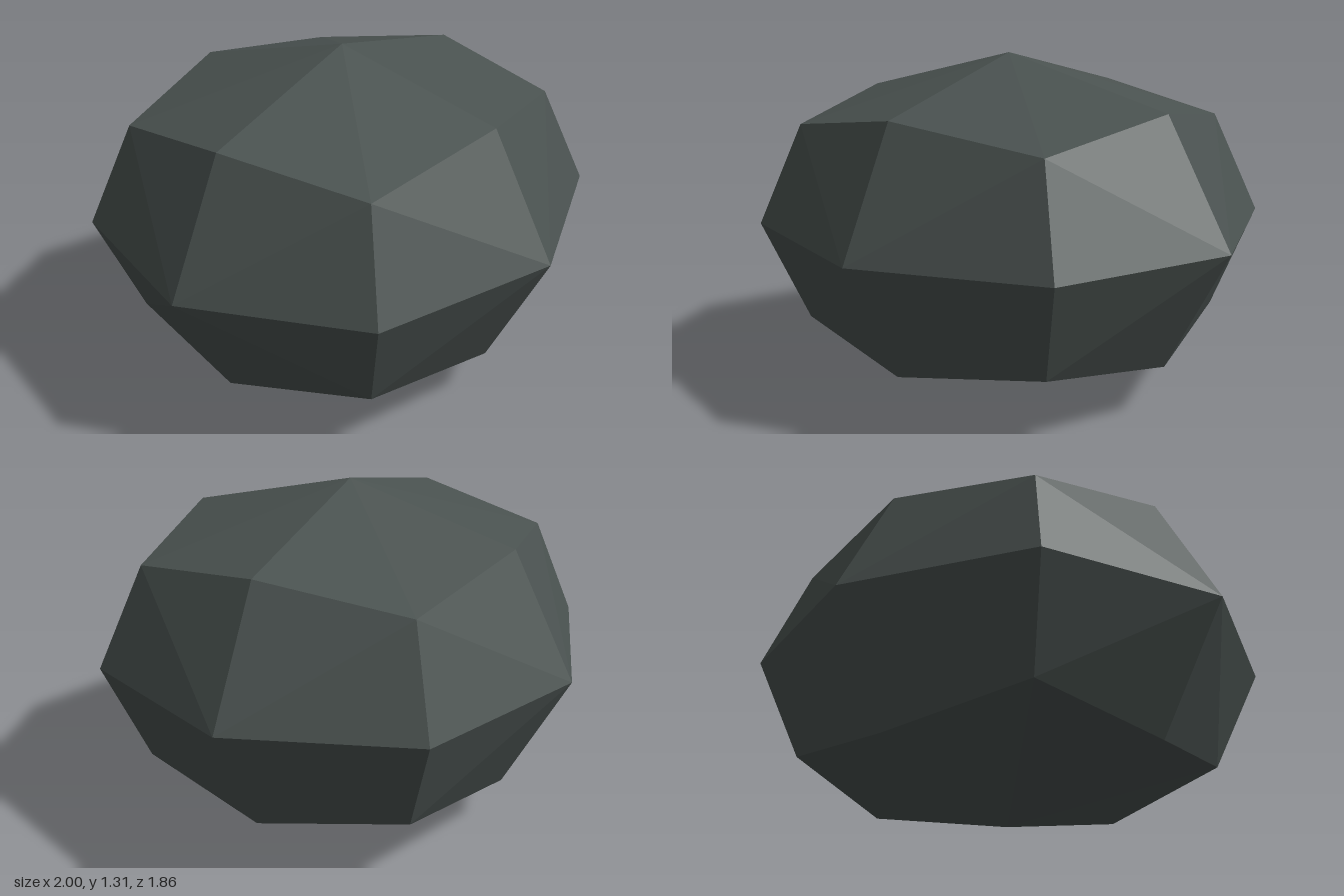
import * as THREE from 'three';
import { ConvexGeometry } from 'three/addons/geometries/ConvexGeometry.js';

export function createModel() {
  const group = new THREE.Group();
  group.name = 'rock';

  const stone = new THREE.MeshStandardMaterial({ color: 0x4a5250 });
  stone.name = 'dark slate';

  // Rounded cube: face centres, edge midpoints and corners sit at different radii
  const reach = [0, 1, 0.73, 0.6];
  const half = new THREE.Vector3(1, 0.657, 0.932);
  const points = [];
  for (const x of [-1, 0, 1]) {
    for (const y of [-1, 0, 1]) {
      for (const z of [-1, 0, 1]) {
        const count = Math.abs(x) + Math.abs(y) + Math.abs(z);
        if (count === 0) continue;
        points.push(new THREE.Vector3(x, y, z).multiplyScalar(reach[count]).multiply(half));
      }
    }
  }

  // Faceted stone, tilted slightly to one side
  const boulder = new THREE.Mesh(new ConvexGeometry(points), stone);
  boulder.name = 'boulder';
  boulder.rotation.z = 0.0175;
  boulder.position.y = 0.66;
  group.add(boulder);

  return group;
}
